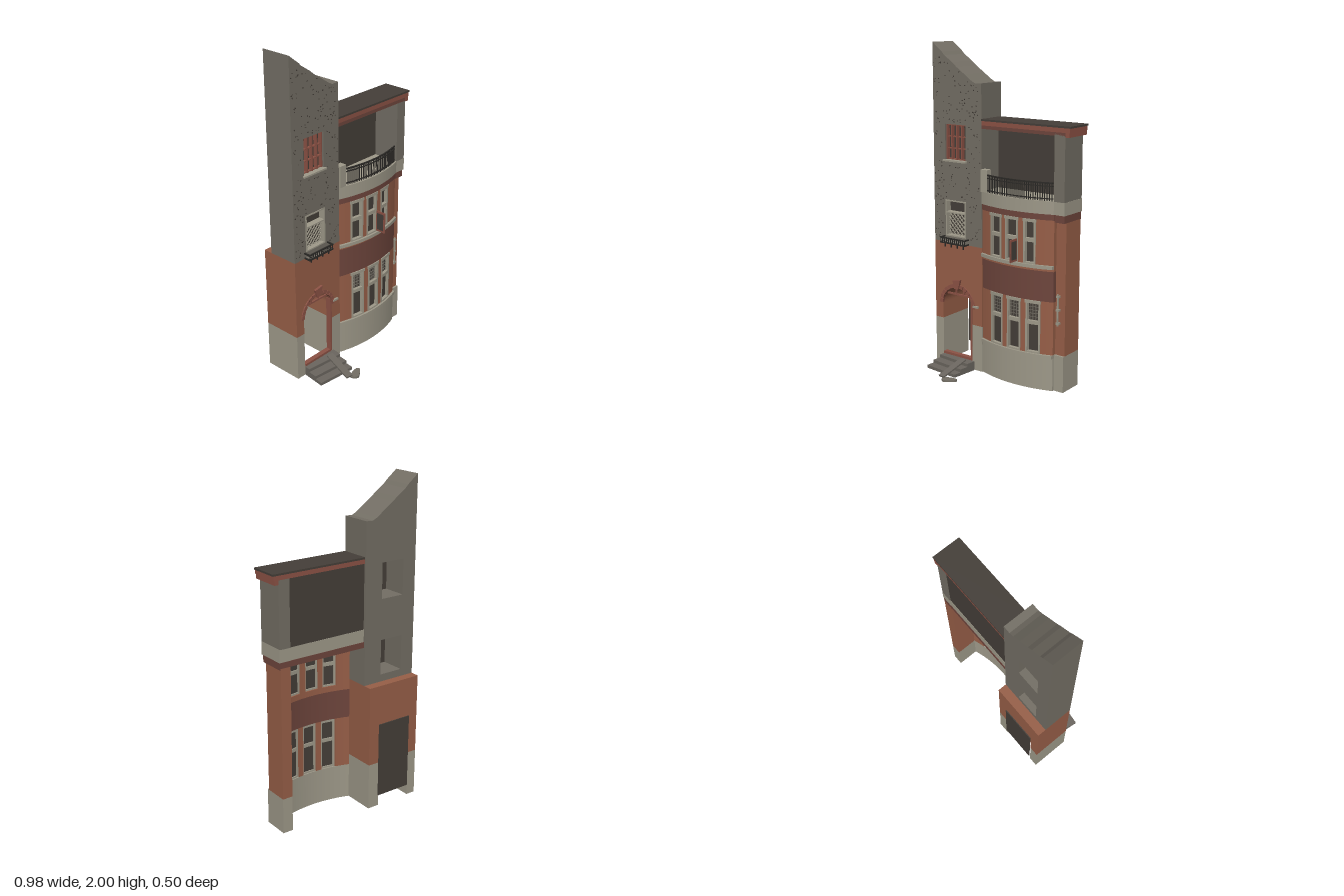
import * as THREE from 'three';
import { mergeGeometries } from 'three/addons/utils/BufferGeometryUtils.js';

const paint = (name, color, side = THREE.FrontSide) =>
  Object.assign(new THREE.MeshStandardMaterial({ color, side }), { name });

export function createModel() {
  const model = new THREE.Group();
  model.name = 'townhouse';
  const M = {
    brick: paint('brick', 0x985f48),
    maroon: paint('dark red band', 0x6f463d),
    trim: paint('red trim', 0x8c5245),
    stone: paint('pale stone', 0x9f9a8a),
    stucco: paint('grey stucco', 0x746f65),
    dark: paint('dark panel', 0x453f39, THREE.DoubleSide),
    iron: paint('iron', 0x2b2926),
    step: paint('step stone', 0x6b665f),
  };

  const add = (name, geo, mat, parent = model) => {
    const m = new THREE.Mesh(geo, mat);
    m.name = name;
    parent.add(m);
    return m;
  };
  const boxGeo = (x0, x1, y0, y1, z0, z1) =>
    new THREE.BoxGeometry(x1 - x0, y1 - y0, z1 - z0)
      .translate((x0 + x1) / 2, (y0 + y1) / 2, (z0 + z1) / 2);
  const box = (name, mat, ...b) => add(name, boxGeo(...b), mat);
  const polygon = (pts) => new THREE.Shape(pts.map(([x, y]) => new THREE.Vector2(x, y)));
  const rectPath = (x0, x1, y0, y1) =>
    new THREE.Path([[x0, y0], [x0, y1], [x1, y1], [x1, y0]].map(([x, y]) => new THREE.Vector2(x, y)));
  // Upright slab from an outline, between z0 and z1
  const slab = (name, shape, z0, z1, mat) =>
    add(name, new THREE.ExtrudeGeometry(shape, { depth: z1 - z0, bevelEnabled: false, curveSegments: 20 })
      .translate(0, 0, z0), mat);

  // Bow front: plan curve and curved blocks that follow it
  const R = 0.745, L = -0.125, E = 0.385;
  const bowZ = (x) => 0.037 - R + Math.sqrt(R * R - (x - 0.13) ** 2);
  const bowGeo = (x0, x1, y0, y1, front, back, flatBack) => {
    const n = Math.max(2, Math.ceil((x1 - x0) / 0.02)), f = [], b = [];
    for (let i = 0; i <= n; i++) {
      const x = x0 + (x1 - x0) * i / n;
      f.push([x, -(bowZ(x) + front)]);
      b.unshift([x, -(bowZ(x) + back)]);
    }
    const rear = flatBack === undefined ? b : [[x1, -flatBack], [x0, -flatBack]];
    return new THREE.ExtrudeGeometry(polygon([...f, ...rear]), { depth: y1 - y0, bevelEnabled: false })
      .rotateX(-Math.PI / 2).translate(0, y0, 0);
  };
  const bow = (name, mat, ...a) => add(name, bowGeo(...a), mat);

  // Tower: stone legs, brick storey with arched doorway, stucco shaft
  box('towerBase', M.stone, -0.49, -0.43, 0.01, 0.3, -0.245, 0);
  box('towerBase', M.stone, -0.2, L, 0.01, 0.3, -0.245, 0);
  const brickWall = new THREE.Shape();
  brickWall.moveTo(-0.49, 0.3).lineTo(-0.43, 0.3).lineTo(-0.43, 0.4);
  brickWall.absarc(-0.315, 0.4, 0.115, Math.PI, 0, true);
  brickWall.lineTo(-0.2, 0.3).lineTo(L, 0.3).lineTo(L, 0.795).lineTo(-0.49, 0.795);
  slab('towerBrickStorey', brickWall, -0.245, 0, M.brick);
  const shaft = polygon([[-0.49, 0.795], [L, 0.795], [L, 1.772], [-0.17, 1.77], [-0.2, 1.785], [-0.25, 1.82],
    [-0.31, 1.86], [-0.34, 1.885], [-0.4, 1.925], [-0.42, 1.945], [-0.49, 2]]);
  shaft.holes.push(rectPath(-0.4, -0.245, 0.84, 1.055), rectPath(-0.4, -0.245, 1.305, 1.52));
  slab('towerShaft', shaft, -0.19, 0, M.stucco);

  // Rough dark flecks in the stucco
  let seed = 7;
  const rnd = () => (seed = (seed * 16807) % 2147483647) / 2147483647;
  const flecks = [];
  while (flecks.length < 190) {
    const x = -0.48 + rnd() * 0.345, y = 0.82 + rnd() * 1.15;
    const inWindow = x > -0.42 && x < -0.225 && ((y > 0.76 && y < 1.07) || (y > 1.28 && y < 1.535));
    if (inWindow || y > 1.97 - (x + 0.49) * 0.67) continue;
    const s = 0.003 + rnd() * 0.004;
    flecks.push(new THREE.BoxGeometry(s, s, 0.004).rotateZ(rnd() * 3).translate(x, y, 0.001));
  }
  add('stuccoFlecks', mergeGeometries(flecks), M.dark);

  // Doorway: back panel, transom, jamb, arch trim and keystone
  box('doorBackPanel', M.dark, -0.425, -0.195, 0.08, 0.55, -0.252, -0.246);
  box('doorTransom', M.trim, -0.42, -0.21, 0.457, 0.467, -0.03, -0.02);
  for (const x of [-0.345, -0.285]) box('fanlightBar', M.trim, x - 0.003, x + 0.003, 0.467, 0.515, -0.03, -0.02);
  box('doorJamb', M.trim, -0.212, -0.2, 0.07, 0.44, -0.03, 0.004);
  box('doorThreshold', M.trim, -0.43, -0.2, 0.065, 0.08, -0.03, 0);
  const stones = 13;
  for (let i = 0; i < stones; i++) {
    const a0 = Math.PI * i / stones + 0.012, a1 = Math.PI * (i + 1) / stones - 0.012;
    const v = new THREE.Shape();
    v.absarc(-0.315, 0.4, 0.137, a0, a1, false);
    v.absarc(-0.315, 0.4, 0.114, a1, a0, true);
    slab('archBrick', v, -0.01, 0.007, M.trim);
  }
  slab('keystone', polygon([[-0.33, 0.508], [-0.3, 0.508], [-0.285, 0.57], [-0.345, 0.56]]), -0.005, 0.015, M.trim);
  box('doorLamp', M.stone, -0.19, -0.15, 0.413, 0.425, 0, 0.012);

  // Upper tower window: red glazing grid
  box('towerUpperGlass', M.dark, -0.4, -0.245, 1.305, 1.52, -0.04, -0.035);
  for (let i = 0; i < 5; i++) {
    const x = -0.397 + i * 0.0373;
    box('towerUpperMullion', M.trim, x - 0.004, x + 0.004, 1.305, 1.52, -0.035, -0.012);
  }
  for (const y of [1.309, 1.375, 1.445, 1.516]) box('towerUpperBar', M.trim, -0.4, -0.245, y - 0.003, y + 0.003, -0.035, -0.018);
  box('towerUpperSill', M.stone, -0.41, -0.235, 1.296, 1.306, -0.02, 0.015);

  // Lower tower window: stone frame and diamond lattice
  box('towerLowerGlass', M.dark, -0.4, -0.245, 0.84, 1.055, -0.04, -0.035);
  for (const x of [-0.4, -0.253]) box('towerLowerJamb', M.stone, x, x + 0.008, 0.84, 1.06, -0.035, 0.004);
  for (const y of [0.835, 0.98, 1.052]) box('towerLowerRail', M.stone, -0.4, -0.245, y, y + 0.008, -0.035, 0.004);
  const lattice = [];
  for (let i = -4; i < 6; i++) for (const s of [1, -1]) {
    // clip each diagonal to the pane
    const c = -0.392 + i * 0.028, x0 = Math.max(c, -0.392), x1 = Math.min(c + 0.137, -0.253), len = x1 - x0;
    if (len < 0.01) continue;
    const mid = (x0 + x1) / 2, y = 0.9115 + s * (mid - c - 0.0685);
    lattice.push(new THREE.BoxGeometry(len * Math.SQRT2, 0.0045, 0.005).rotateZ(s * Math.PI / 4).translate(mid, y, -0.022));
  }
  add('towerLattice', mergeGeometries(lattice), M.stone);

  // Small iron window balcony
  const iron = [];
  for (const y of [0.8, 0.83]) {
    iron.push(boxGeo(-0.415, -0.222, y - 0.004, y + 0.004, 0.037, 0.045));
    for (const x of [-0.415, -0.23]) iron.push(boxGeo(x, x + 0.008, y - 0.004, y + 0.004, 0, 0.045));
  }
  for (let i = 0; i <= 12; i++) {
    const x = -0.411 + i * 0.0154;
    iron.push(boxGeo(x - 0.002, x + 0.002, 0.8, 0.83, 0.039, 0.043));
  }
  for (let i = 0; i < 4; i++) {
    const x = -0.39 + i * 0.047;
    iron.push(boxGeo(x, x + 0.006, 0.772, 0.8, 0.025, 0.031), boxGeo(x, x + 0.006, 0.796, 0.804, 0, 0.04));
  }
  add('windowBalcony', mergeGeometries(iron), M.iron);
  box('windowBalconyFloor', M.stucco, -0.41, -0.228, 0.799, 0.803, 0, 0.037);

  // Bow front walls, bands and ledges
  const T = -0.04;
  bow('bowBase', M.stone, L, E, 0.01, 0.23, 0, T);
  bow('bowLedge', M.stone, L, E, 0.21, 0.23, 0.015, 0);
  bow('bowBand', M.maroon, L, E, 0.55, 0.73, 0, T);
  bow('bowUnderSill', M.brick, L, E, 0.73, 0.765, 0, T);
  bow('bowLedge', M.stone, L, E, 0.746, 0.766, 0.016, 0);
  const lower = [[-0.04, 0.055], [0.09, 0.185], [0.22, 0.312]];
  const upper = [[-0.045, 0.045], [0.075, 0.165], [0.203, 0.28]];
  const floors = [[lower, 0.23, 0.55, 0.415], [upper, 0.765, 1.03, 0.905]];
  for (const [windows, y0, y1, mid] of floors) {
    const edges = [L, ...windows.flat(), E];
    for (let i = 0; i < edges.length; i += 2) bow('bowPier', M.brick, edges[i], edges[i + 1], y0, y1, 0, T);
    for (const [a, b] of windows) {
      bow('windowGlass', M.dark, a, b, y0, y1, -0.018, -0.024);
      for (const x of [a, b - 0.011]) bow('windowJamb', M.stone, x, x + 0.011, y0, y1, 0.004, -0.032);
      bow('windowLintel', M.stone, a - 0.004, b + 0.004, y1 - 0.018, y1, 0.007, -0.032);
      bow('windowTransom', M.stone, a, b, mid - 0.011, mid + 0.011, 0.002, -0.032);
      bow('windowSill', M.stone, a, b, y0, y0 + 0.01, 0.004, -0.032);
      if (windows === lower) for (let i = 1; i < 5; i++) {
        const x = a + (b - a) * i / 5, y = mid + 0.011 + i * 0.02;
        bow('leadedBar', M.stucco, x - 0.001, x + 0.001, mid, y1 - 0.018, -0.014, -0.018);
        bow('leadedBar', M.stucco, a, b, y - 0.001, y + 0.001, -0.014, -0.018);
      }
    }
  }
  // Open casement and its dark opening
  box('openCasement', M.trim, 0.157, 0.163, 0.772, 0.905, 0.037, 0.107);
  for (const x of [0.155, 0.163]) box('casementGlass', M.dark, x, x + 0.002, 0.785, 0.892, 0.048, 0.096);

  // Side pillar with wall anchor
  box('pillarBase', M.stone, E, 0.45, 0.01, 0.23, -0.18, -0.02);
  box('pillarBrick', M.brick, E, 0.45, 0.23, 1.03, -0.18, -0.033);
  box('wallAnchor', M.stone, 0.404, 0.412, 0.41, 0.6, -0.024, -0.015);
  for (const y of [0.425, 0.505, 0.585]) box('anchorClamp', M.stone, 0.398, 0.418, y - 0.006, y + 0.006, -0.034, -0.013);

  // Balcony floor: red course under a stone course
  bow('floorCourse', M.maroon, L, E, 1.03, 1.065, 0.003, 0, -0.18);
  box('floorCourse', M.maroon, E, 0.452, 1.02, 1.065, -0.18, -0.008);
  bow('balconySlab', M.stone, L, E, 1.065, 1.14, 0.008, 0, -0.178);
  box('balconySlab', M.stone, E, 0.457, 1.065, 1.14, -0.18, 0);
  box('balconyPost', M.stone, L, -0.077, 1.14, 1.272, -0.03, 0.012);

  // Curved balcony railing
  const bars = [];
  for (let i = 0; i <= 32; i++) {
    const x = -0.073 + i * 0.0138, z = bowZ(x) - 0.004;
    bars.push(boxGeo(x - 0.002, x + 0.002, 1.14, 1.243, z - 0.002, z + 0.002));
  }
  for (const [y, h] of [[1.238, 0.008], [1.222, 0.004], [1.15, 0.005]]) bars.push(bowGeo(-0.077, 0.373, y, y + h, 0.001, -0.008)
    .toNonIndexed ? bowGeo(-0.077, 0.373, y, y + h, 0.001, -0.008) : null);
  add('balconyRailing', mergeGeometries(bars.map((g) => (g.index ? g.toNonIndexed() : g))), M.iron);

  // Top storey and flat roof
  box('loggiaBack', M.dark, L, E, 1.14, 1.53, -0.176, -0.168);
  box('loggiaSide', M.stucco, E, 0.455, 1.14, 1.53, -0.18, 0);
  box('corniceLower', M.trim, 0.455, 0.48, 1.505, 1.53, -0.18, 0);
  box('corniceBeam', M.maroon, L, 0.455, 1.51, 1.53, -0.03, 0);
  box('cornice', M.trim, L, 0.484, 1.53, 1.556, -0.18, 0);
  box('roof', M.dark, L, 0.49, 1.556, 1.567, -0.181, 0.002);

  // Entrance steps, set slightly askew
  const steps = new THREE.Group();
  steps.name = 'entranceSteps';
  steps.position.set(-0.307, 0, 0);
  steps.rotation.y = -0.11;
  [[0.05, 0.065], [0.108, 0.046], [0.16, 0.027]].forEach(([z, h]) =>
    add('step', boxGeo(-0.121, 0.121, 0.008, h, -0.012, z), M.step, steps));
  model.add(steps);

  // Plank ramp and spill at its foot
  const from = new THREE.Vector3(-0.249, 0.073, 0.03), to = new THREE.Vector3(-0.273, 0.014, 0.215);
  const plank = add('plank', new THREE.BoxGeometry(0.044, 0.01, from.distanceTo(to)), M.step);
  plank.position.lerpVectors(from, to, 0.5);
  plank.lookAt(to);
  const spillCurve = new THREE.CatmullRomCurve3([[-0.263, 0.213], [-0.237, 0.248], [-0.205, 0.235], [-0.168, 0.2],
    [-0.175, 0.188], [-0.212, 0.188]].map(([x, z]) => new THREE.Vector3(x, -z, 0)), true);
  const spill = new THREE.Shape(spillCurve.getPoints(30).slice(0, -1).map((p) => new THREE.Vector2(p.x, p.y)));
  add('spill', new THREE.ExtrudeGeometry(spill, { depth: 0.012, bevelEnabled: false }).rotateX(-Math.PI / 2), M.stucco);

  return model;
}
